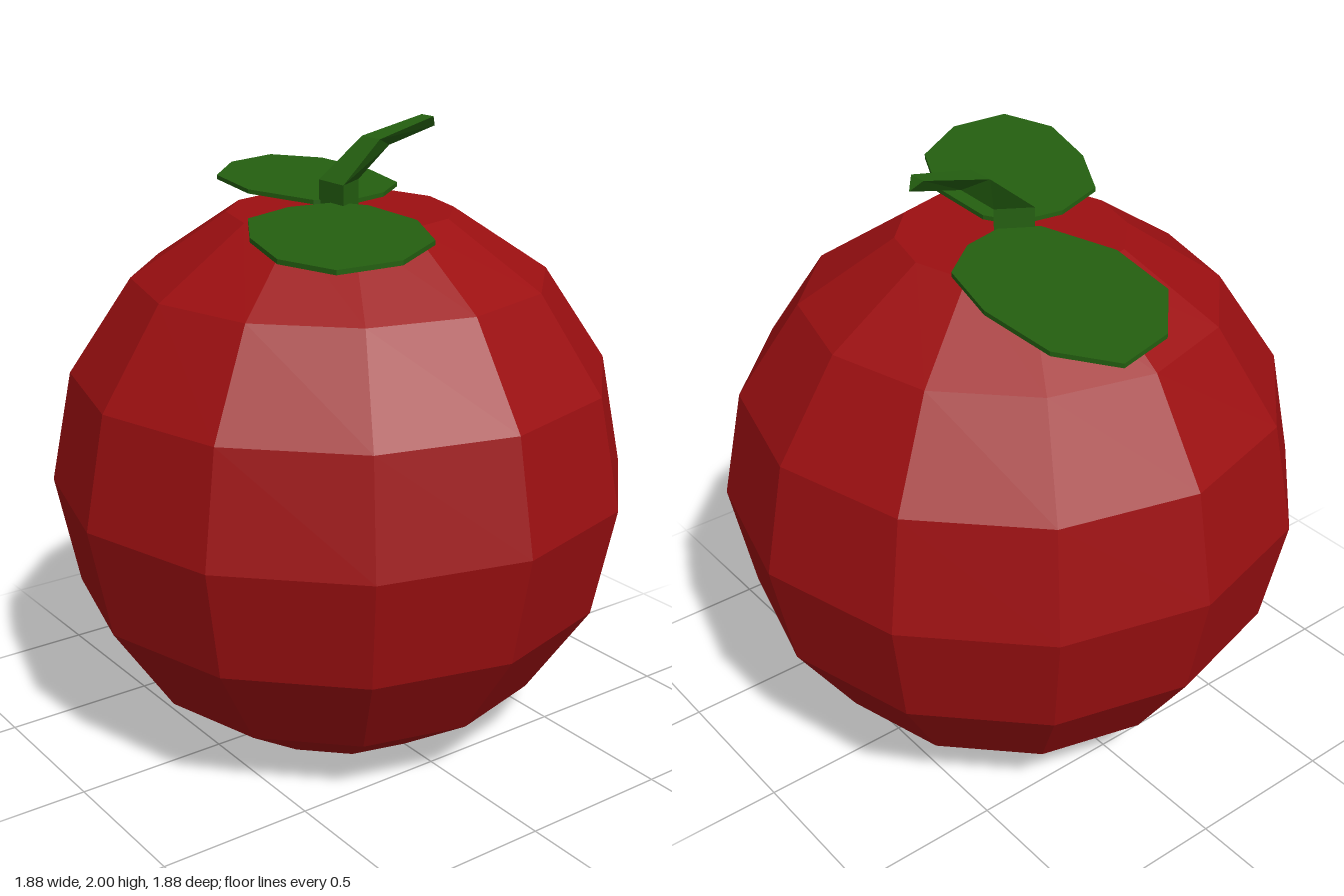
import * as THREE from 'three';

const red = new THREE.MeshStandardMaterial({ color: 0x9c0f11, flatShading: true });
const green = new THREE.MeshStandardMaterial({ color: 0x245f10, flatShading: true });

function part(name, geometry, material) {
  const mesh = new THREE.Mesh(geometry, material);
  mesh.name = name;
  return mesh;
}

// Faceted sphere with its poles cut flat
function fruitGeometry() {
  const radius = 0.94, centre = 0.8685, profile = [new THREE.Vector2(0, 0)];
  for (let i = 1; i <= 7; i++) {
    const a = (i * Math.PI) / 8;
    profile.push(new THREE.Vector2(radius * Math.sin(a), centre - radius * Math.cos(a)));
  }
  profile.push(new THREE.Vector2(0, profile[7].y));
  return new THREE.LatheGeometry(profile, 12);
}

// Thin flat leaf from an outline of [x, z] points
function leafGeometry(outline) {
  const shape = new THREE.Shape(outline.map(([x, z]) => new THREE.Vector2(x, -z)));
  const geometry = new THREE.ExtrudeGeometry(shape, { depth: 0.014, bevelEnabled: false });
  return geometry.rotateX(-Math.PI / 2).translate(0, 1.747, 0);
}

// Bent three-sided stem; each section is a front edge and a back point
function stemGeometry() {
  // half width, edge y, edge z, point y, point z
  const sections = [
    [0.065, 1.74, 0.037, 1.74, -0.07],
    [0.065, 1.825, 0.037, 1.825, -0.07],
    [0.046, 1.95, -0.118, 1.92, -0.19],
    [0.03, 2.0, -0.345, 1.965, -0.375],
  ];
  const positions = [], index = [];
  sections.forEach(([w, y, z, py, pz], s) => {
    positions.push(-w, y, z, w, y, z, 0, py, pz);
    if (s === 0) return;
    const a = (s - 1) * 3, b = s * 3;
    for (let i = 0; i < 3; i++) {
      const j = (i + 1) % 3;
      index.push(a + i, a + j, b + j, a + i, b + j, b + i);
    }
  });
  index.push(0, 2, 1, 9, 10, 11);
  const geometry = new THREE.BufferGeometry();
  geometry.setAttribute('position', new THREE.Float32BufferAttribute(positions, 3));
  geometry.setIndex(index);
  geometry.computeVertexNormals();
  return geometry;
}

export function createModel() {
  const group = new THREE.Group();
  group.name = 'fruit';
  group.add(part('body', fruitGeometry(), red));
  group.add(part('stem', stemGeometry(), green));
  group.add(part('rightLeaf', leafGeometry([
    [-0.86, -0.31], [-0.81, -0.11], [-0.62, 0.07], [-0.34, 0.125], [-0.07, 0.055],
    [0.0, -0.04], [-0.04, -0.2], [-0.155, -0.345], [-0.4, -0.415], [-0.69, -0.42],
  ]), green));
  group.add(part('leftLeaf', leafGeometry([
    [0.0, 0.02], [-0.025, 0.18], [0.045, 0.375], [0.27, 0.515], [0.535, 0.6],
    [0.73, 0.545], [0.745, 0.335], [0.605, 0.11], [0.36, -0.02], [0.1, -0.035],
  ]), green));
  return group;
}
